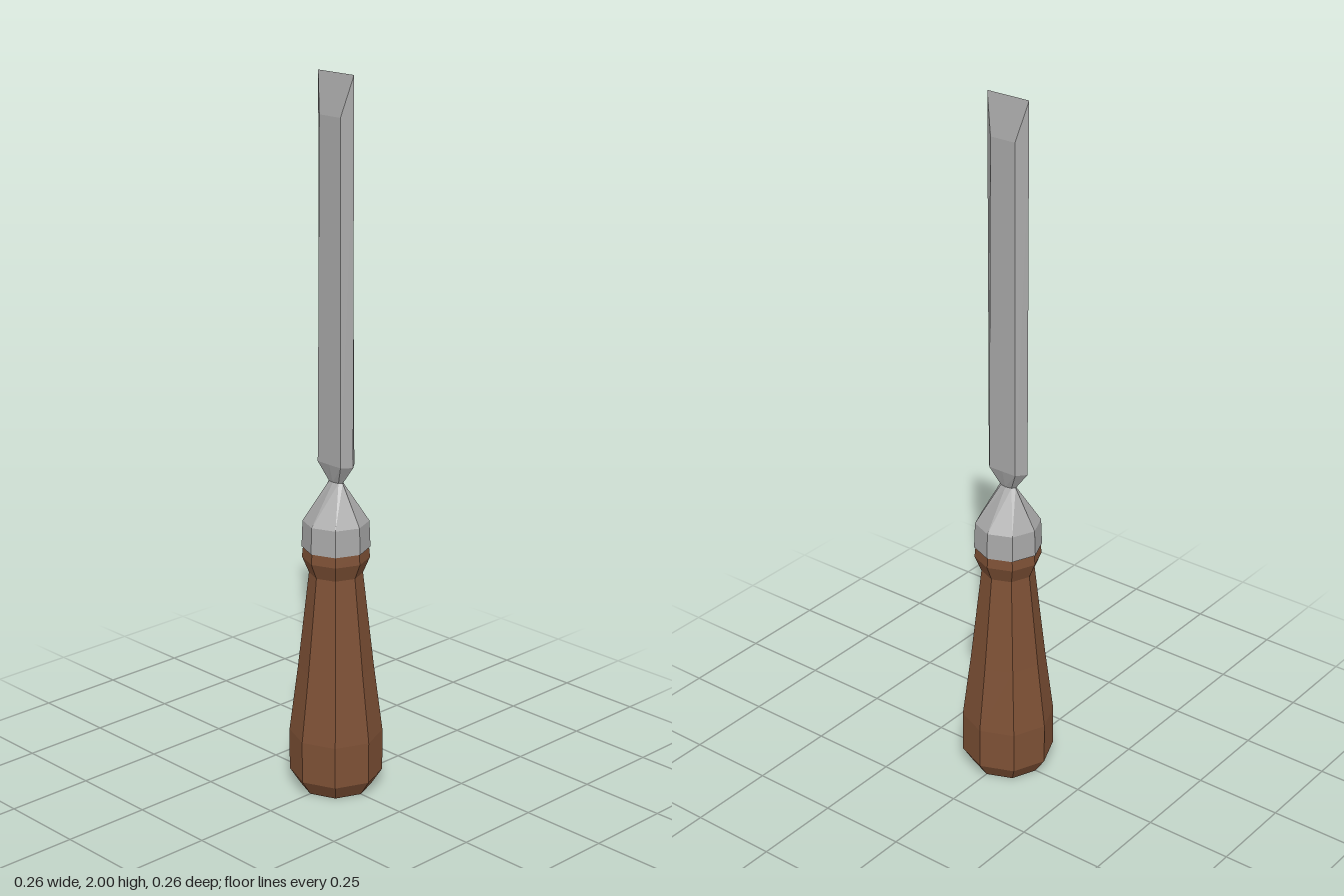
import * as THREE from 'three';

const wood = new THREE.MeshStandardMaterial({ color: 0x7d5035 });
wood.name = 'brown wood';
const steel = new THREE.MeshStandardMaterial({ color: 0xa8a8a8 });
steel.name = 'grey steel';

// Eight corners, starting at +x and running counter-clockwise seen from above
const octagon = (y, rx, rz = rx) => Array.from({ length: 8 }, (_, i) => {
  const a = (i * Math.PI) / 4;
  return new THREE.Vector3(rx * Math.cos(a), y, -rz * Math.sin(a));
});

// Flat-faced blade section: sharp side edges, flat front and back
const section = (y, edge, flat, depth) => [
  [edge, 0], [flat, -depth], [0, -depth], [-flat, -depth],
  [-edge, 0], [-flat, depth], [0, depth], [flat, depth],
].map(([x, z]) => new THREE.Vector3(x, y, z));

// Facetted skin through a stack of eight-cornered rings, bottom to top
function loft(name, rings, material) {
  const pos = [];
  const addFace = (a, b, c) => {
    if (new THREE.Triangle(a, b, c).getArea() < 1e-8) return;
    for (const p of [a, b, c]) pos.push(p.x, p.y, p.z);
  };
  for (let r = 0; r < rings.length - 1; r++) {
    const lo = rings[r], hi = rings[r + 1];
    for (let i = 0; i < 8; i++) {
      const j = (i + 1) % 8;
      addFace(lo[i], lo[j], hi[j]);
      addFace(lo[i], hi[j], hi[i]);
    }
  }
  const geometry = new THREE.BufferGeometry();
  geometry.setAttribute('position', new THREE.Float32BufferAttribute(pos, 3));
  geometry.computeVertexNormals();
  const mesh = new THREE.Mesh(geometry, material);
  mesh.name = name;
  return mesh;
}

export function createModel() {
  const group = new THREE.Group();
  group.name = 'chisel';

  // Turned wooden handle with a chamfered butt and a collar
  const handle = [
    [0, 0], [0, 0.1], [0.045, 0.13], [0.165, 0.13], [0.36, 0.105],
    [0.635, 0.074], [0.68, 0.093], [0.712, 0.09], [0.712, 0],
  ];
  group.add(loft('handle', handle.map(([y, r]) => octagon(y, r)), wood));

  // Metal ferrule narrowing to a flattened neck
  group.add(loft('ferrule', [
    octagon(0.71, 0), octagon(0.71, 0.094), octagon(0.785, 0.091),
    octagon(0.897, 0.026, 0.012),
  ], steel));

  // Blade: flared shoulder, long body, double bevel to a straight edge
  group.add(loft('blade', [
    octagon(0.897, 0.026, 0.012),
    section(0.95, 0.066, 0.044, 0.026),
    section(1.89, 0.066, 0.039, 0.022),
    section(2, 0.066, 0.066, 0),
  ], steel));

  return group;
}
